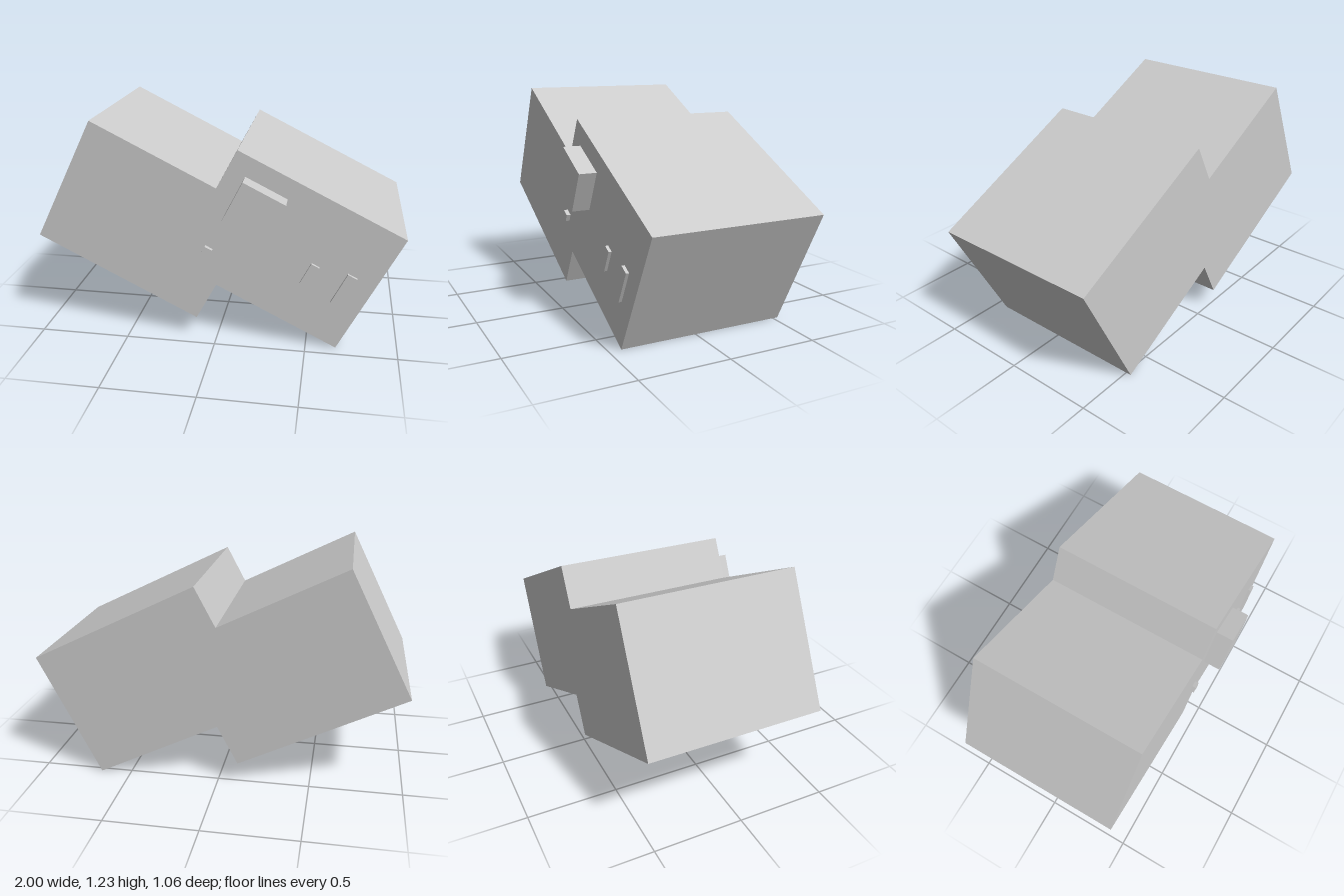
import * as THREE from 'three';

const BACK = -0.53, FRONT = 0.432, TILT = -Math.atan(0.5);

export function createModel() {
  const group = new THREE.Group();
  const material = new THREE.MeshStandardMaterial({ color: 0xcccccc, flatShading: true });

  // Body: two offset blocks merged into one tilted, stepped outline
  const outline = [
    [-1, 0.568], [-0.112, 0.124], [0, 0.336], [0.666, 0.003],
    [1, 0.667], [0.115, 1.107], [0.003, 0.895], [-0.668, 1.23],
  ].map(([x, y]) => new THREE.Vector2(x, y));
  const bodyGeometry = new THREE.ExtrudeGeometry(new THREE.Shape(outline), {
    depth: FRONT - BACK, bevelEnabled: false,
  });
  const body = new THREE.Mesh(bodyGeometry, material);
  body.name = 'body';
  body.position.z = BACK;
  group.add(body);

  // Raised blocks on the front face, tilted with the body and sunk in slightly
  const addBlock = (name, x, y, width, height, rise) => {
    const sink = 0.02;
    const block = new THREE.Mesh(new THREE.BoxGeometry(width, height, rise + sink), material);
    block.name = name;
    block.position.set(x, y, FRONT + (rise - sink) / 2);
    block.rotation.z = TILT;
    group.add(block);
  };
  addBlock('largeFrontBlock', 0.213, 0.803, 0.249, 0.243, 0.098);
  addBlock('smallButton', -0.048, 0.54, 0.048, 0.043, 0.023);
  addBlock('shortBar', 0.507, 0.436, 0.048, 0.132, 0.017);
  addBlock('longBar', 0.692, 0.358, 0.057, 0.195, 0.017);

  return group;
}
